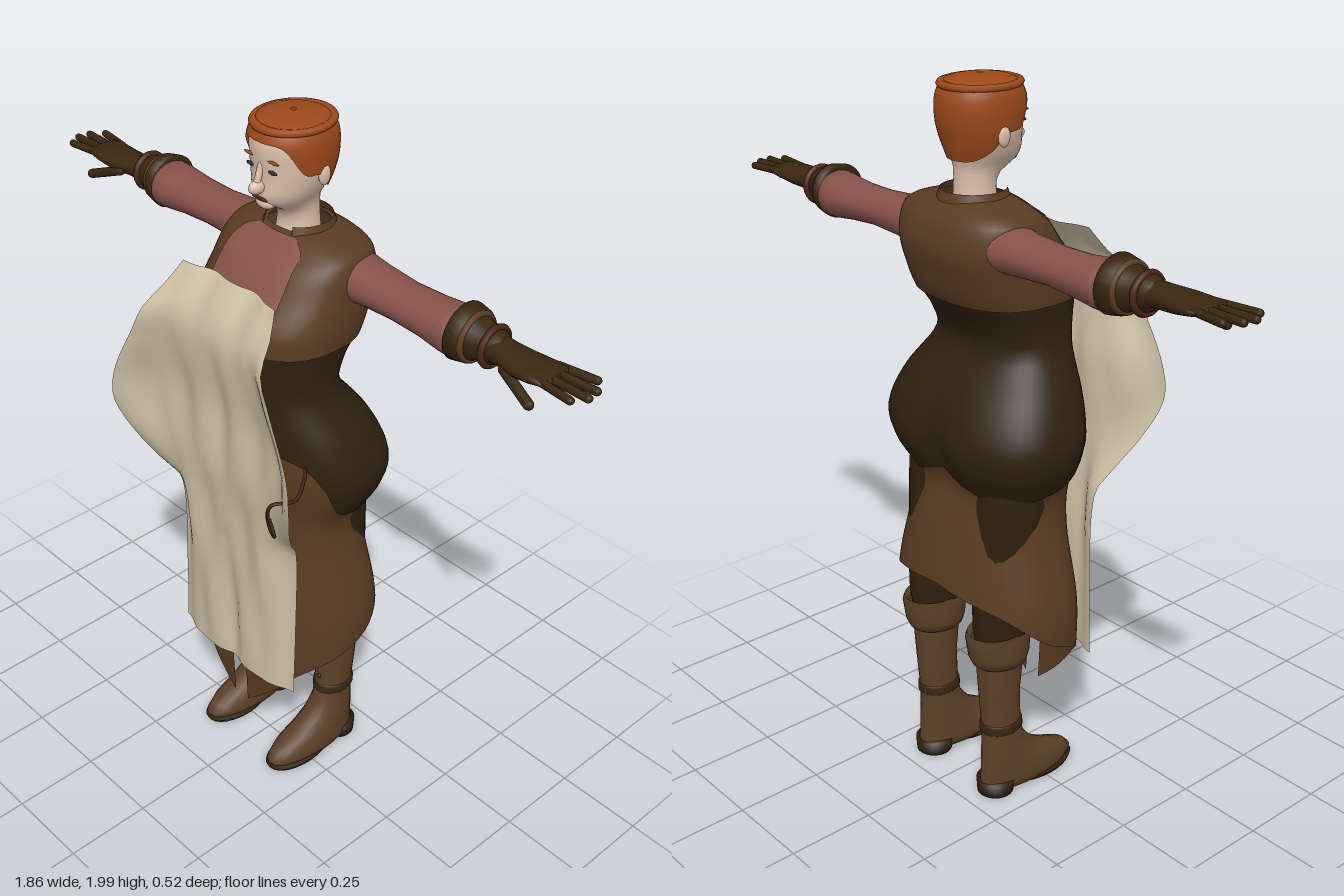
import * as THREE from 'three';
import { mergeVertices } from 'three/addons/utils/BufferGeometryUtils.js';

const mat = (name, color, open) => {
  const m = new THREE.MeshStandardMaterial({ color });
  m.name = name;
  if (open) m.side = THREE.DoubleSide;
  return m;
};

// Smooth surface from fn(u, v), u to the right and v upwards, both 0..1
function grid(nu, nv, fn) {
  const pos = [], idx = [];
  for (let j = 0; j <= nv; j++) for (let i = 0; i <= nu; i++) pos.push(...fn(i / nu, j / nv));
  for (let j = 0; j < nv; j++) for (let i = 0; i < nu; i++) {
    const a = j * (nu + 1) + i, b = a + nu + 1;
    idx.push(a, a + 1, b + 1, a, b + 1, b);
  }
  let g = new THREE.BufferGeometry();
  g.setAttribute('position', new THREE.Float32BufferAttribute(pos, 3));
  g.setIndex(idx);
  g = mergeVertices(g, 1e-5);
  g.computeVertexNormals();
  return g;
}

// Point on an oval section [y, half width, front z, back z, centre x]
function oval([y, rx, zf, zb, cx = 0], t, off = 0, n = 2) {
  const f = (k) => Math.sign(k) * Math.pow(Math.abs(k), 2 / n);
  return [cx + (rx + off) * f(Math.sin(t)), y, (zf + zb) / 2 + ((zf - zb) / 2 + off) * f(Math.cos(t))];
}

// Tube through oval sections, listed upwards
const loft = (rows, n = 2) => grid(24, rows.length - 1,
  (u, v) => oval(rows[Math.round(v * (rows.length - 1))], u * Math.PI * 2, 0, n));

// Cubic interpolation of a table keyed by its first column
function sample(tab, y) {
  let i = 0;
  while (i < tab.length - 2 && y > tab[i + 1][0]) i++;
  const a = tab[i], b = tab[i + 1], h = b[0] - a[0];
  const t = THREE.MathUtils.clamp((y - a[0]) / h, 0, 1);
  const slope = (j, k) => {
    const p = tab[Math.max(j - 1, 0)], q = tab[Math.min(j + 1, tab.length - 1)];
    return (q[k] - p[k]) / (q[0] - p[0]);
  };
  return a.map((_, k) => k === 0 ? y :
    a[k] * (1 + 2 * t) * (1 - t) ** 2 + b[k] * t * t * (3 - 2 * t) +
    h * (slope(i, k) * t * (1 - t) ** 2 + slope(i + 1, k) * t * t * (t - 1)));
}

// Part of a profile's surface between two heights that may vary with the angle
function panel(tab, bottom, top, { from = 0, to = Math.PI * 2, off = 0, n = 2, shape } = {}) {
  const at = (f, t) => typeof f === 'function' ? f(Math.min(t, Math.PI * 2 - t)) : f;
  return grid(56, 24, (u, v) => {
    const t = from + (to - from) * u;
    const y = THREE.MathUtils.lerp(at(bottom, t), at(top, t), v);
    const p = oval(sample(tab, y), t, off, n);
    return shape ? shape(p) : p;
  });
}

export function createModel() {
  const model = new THREE.Group();
  model.name = 'apronedWorker';
  const leather = mat('coat brown', 0x5a3c22, true), dark = mat('dark brown', 0x2e200e, true);
  const cloth = mat('apron cream', 0xcdc0a4, true), red = mat('shirt red', 0x87524a, true);
  const skin = mat('skin', 0xdcbfaa), hair = mat('hair ginger', 0x9c491b, true);
  const boot = mat('boot brown', 0x5c4127, true), glove = mat('glove brown', 0x38260f, true);
  const cordMat = mat('cord red brown', 0x4a2415), ink = mat('eye brown', 0x3a2a22);

  const add = (name, geo, m) => {
    const mesh = new THREE.Mesh(geo, m);
    mesh.name = name;
    model.add(mesh);
    return mesh;
  };
  // Left part plus its mirror image
  const pair = (name, geo, m) => {
    add(name + 'Left', geo, m);
    const g = geo.clone().scale(-1, 1, 1), ix = g.index.array;
    for (let i = 0; i < ix.length; i += 3) [ix[i], ix[i + 1]] = [ix[i + 1], ix[i]];
    add(name + 'Right', g, m);
  };
  const ball = (x, y, z, rx, ry, rz) => new THREE.SphereGeometry(1, 16, 12).scale(rx, ry, rz).translate(x, y, z);
  const limb = (a, b, r) => {
    const A = new THREE.Vector3(...a), B = new THREE.Vector3(...b), d = B.clone().sub(A);
    const q = new THREE.Quaternion().setFromUnitVectors(new THREE.Vector3(0, 1, 0), d.clone().normalize());
    return new THREE.CapsuleGeometry(r, d.length(), 4, 10).applyQuaternion(q).translate(...A.add(B).multiplyScalar(0.5).toArray());
  };

  // Coat: skirt, dark bodice over the hips, vest and shirt front
  const body = [
    [0.2, 0.28, 0.12, -0.25], [0.45, 0.295, 0.13, -0.25], [0.6, 0.298, 0.125, -0.253], [0.8, 0.255, 0.11, -0.225],
    [0.92, 0.252, 0.11, -0.205], [1.0, 0.29, 0.12, -0.245], [1.08, 0.308, 0.13, -0.26], [1.18, 0.275, 0.135, -0.22],
    [1.3, 0.205, 0.135, -0.135], [1.38, 0.2, 0.145, -0.16], [1.44, 0.21, 0.15, -0.2], [1.5, 0.215, 0.143, -0.225],
    [1.58, 0.212, 0.085, -0.245], [1.64, 0.203, 0.04, -0.235], [1.67, 0.185, 0.0, -0.215], [1.69, 0.13, -0.02, -0.19],
    [1.7, 0.07, -0.035, -0.165]];
  const cleft = ([x, y, z]) => [x, y, z < -0.1 ? z + 0.035 * Math.exp(-((x / 0.05) ** 2) - ((y - 1.04) / 0.1) ** 2) : z];
  const hem = [[0, 0.19], [0.35, 0.29], [0.8, 0.41], [1.57, 0.5], [2.3, 0.6], [Math.PI, 0.64]];
  const waist = [[0, 1.15], [0.8, 1.13], [1.25, 0.98], [2, 0.93], [2.7, 0.93], [Math.PI, 0.98]];
  add('coatSkirt', panel(body, (t) => sample(hem, t)[1], 1.18,
    { from: 0.06, to: Math.PI * 2 - 0.06, off: -0.008, n: 2.4, shape: cleft }), leather);
  add('bodice', panel(body, (t) => sample(waist, t)[1], 1.46, { n: 2.4, shape: cleft }), dark);
  add('vest', panel(body, 1.44, 1.7, { off: 0.006, n: 2.5 }), leather);
  add('shirtFront', panel(body, 1.55, 1.695, { from: -0.5, to: 0.5, off: 0.011, n: 2.5 }), red);
  const collar = new THREE.CylinderGeometry(0.085, 0.1, 0.04, 32, 1, true, 0.6, Math.PI * 2 - 1.2);
  add('collar', collar.translate(0, 1.695, -0.1), leather);

  // Apron: narrow bib, sides kicking forward at the hips, straight skirt
  const apron = [ // y, half width, middle z, edge z
    [0.38, 0.23, 0.15, 0.12], [0.6, 0.23, 0.155, 0.115], [0.88, 0.235, 0.165, 0.12], [0.95, 0.262, 0.17, 0.165],
    [1.05, 0.312, 0.18, 0.22], [1.15, 0.347, 0.18, 0.255], [1.25, 0.335, 0.18, 0.255], [1.4, 0.262, 0.2, 0.245],
    [1.48, 0.224, 0.2, 0.235], [1.54, 0.197, 0.17, 0.18], [1.6, 0.17, 0.125, 0.14]];
  add('apron', grid(40, 40, (u, v) => {
    const [y, w, zm, ze] = sample(apron, 0.38 + 1.22 * v), s = u * 2 - 1, x = s * w;
    const k = THREE.MathUtils.smoothstep(Math.abs(s), 0.6, 1);
    const fold = 0.008 * Math.cos(x * 45) * Math.sin(y * 9) - 0.012 * Math.exp(-((x / 0.03) ** 2)) * (y < 0.85 ? 1 : 0.5);
    return [x, y, zm + (ze - zm) * k + fold * (1 - k)];
  }), cloth);
  const cordPath = [[0.2, 1.12, 0.06], [0.27, 1.15, 0.13], [0.31, 1.14, 0.2], [0.285, 1.14, 0.255], [0.245, 1.03, 0.225],
    [0.28, 1.03, 0.24], [0.27, 1.09, 0.25]].map((p) => new THREE.Vector3(...p));
  add('apronCord', new THREE.TubeGeometry(new THREE.CatmullRomCurve3(cordPath), 40, 0.005, 6), cordMat);

  // Head, neck and face
  const head = [
    [1.66, 0.055, -0.03, -0.155], [1.72, 0.05, -0.04, -0.15], [1.755, 0.052, -0.02, -0.15], [1.775, 0.06, 0.02, -0.152],
    [1.8, 0.075, 0.035, -0.16], [1.84, 0.09, 0.033, -0.172], [1.88, 0.097, 0.034, -0.182], [1.93, 0.098, 0.036, -0.184],
    [1.965, 0.09, 0.022, -0.172], [1.985, 0.068, -0.005, -0.145], [1.994, 0.0, -0.075, -0.075]];
  add('headAndNeck', panel(head, 1.66, 1.98, { n: 2.1 }), skin);
  const hairline = [[0, 1.945], [0.7, 1.935], [1.15, 1.87], [1.6, 1.86], [1.95, 1.82], [2.4, 1.795], [Math.PI, 1.79]];
  add('hair', panel(head, (t) => sample(hairline, t)[1], 1.994, { off: 0.008, n: 2.1 }), hair);
  const braid = new THREE.TorusGeometry(0.09, 0.012, 8, 40).rotateX(Math.PI / 2).scale(1, 0.8, 1.12);
  add('hairBraid', braid.translate(0, 1.972, -0.075), hair);
  add('nose', ball(0, 1.828, 0.042, 0.016, 0.018, 0.026), skin);
  add('noseBridge', limb([0, 1.835, 0.045], [0, 1.885, 0.028], 0.009), skin);
  add('chin', ball(0, 1.782, 0.015, 0.03, 0.018, 0.02), skin);
  add('mouth', ball(0, 1.797, 0.035, 0.028, 0.005, 0.0045), cordMat);
  pair('ear', ball(0.1, 1.855, -0.085, 0.01, 0.027, 0.018), skin);
  pair('eye', ball(0.038, 1.873, 0.028, 0.016, 0.005, 0.0045), ink);
  pair('brow', ball(0.04, 1.9, 0.029, 0.022, 0.004, 0.0045), hair);

  // Sleeves, gauntlets and gloves, lofted upright and laid along x
  const arm = (rows) => loft(rows.map(([x, y, r, zf, zb]) => [x, r, zf, zb, -y])).rotateZ(-Math.PI / 2);
  pair('sleeve', arm([[0.17, 1.6, 0.062, -0.05, -0.205], [0.24, 1.597, 0.054, -0.06, -0.198], [0.34, 1.595, 0.048, -0.063, -0.192],
    [0.43, 1.593, 0.052, -0.062, -0.195], [0.5, 1.592, 0.06, -0.055, -0.2], [0.54, 1.593, 0.063, -0.052, -0.2],
    [0.56, 1.595, 0.04, -0.08, -0.17]]), red);
  pair('gauntlet', arm([[0.545, 1.6, 0.05, -0.07, -0.175], [0.535, 1.6, 0.075, -0.048, -0.202], [0.57, 1.6, 0.068, -0.055, -0.195],
    [0.59, 1.6, 0.05, -0.072, -0.175], [0.64, 1.602, 0.044, -0.078, -0.165], [0.66, 1.603, 0.034, -0.085, -0.155]]), glove);
  [0.575, 0.63].forEach((x, i) => pair('gauntletStrap', new THREE.TorusGeometry(0.058 - i * 0.01, 0.009, 8, 24)
    .rotateY(Math.PI / 2).translate(x, 1.6, -0.123), i ? cordMat : leather));
  pair('palm', arm([[0.62, 1.603, 0.034, -0.08, -0.16], [0.68, 1.603, 0.03, -0.072, -0.158], [0.73, 1.603, 0.027, -0.058, -0.163],
    [0.78, 1.606, 0.02, -0.055, -0.168], [0.82, 1.61, 0.014, -0.058, -0.168], [0.83, 1.61, 0, -0.11, -0.11]]), glove);
  [0.9, 0.922, 0.917, 0.89].forEach((x, i) =>
    pair('finger' + (i + 1), limb([0.79, 1.61, -0.073 - i * 0.027], [x, 1.61, -0.06 - i * 0.036], 0.0105), glove));
  pair('thumb', limb([0.7, 1.59, -0.075], [0.8, 1.555, -0.048], 0.013), glove);

  // Breeches and boots
  const leg = (rows) => loft(rows.map((r) => [...r, 0.137]));
  pair('breeches', leg([[0.45, 0.058, -0.06, -0.2], [0.53, 0.075, -0.045, -0.21], [0.6, 0.078, -0.045, -0.21],
    [0.75, 0.09, -0.03, -0.2], [0.95, 0.11, 0.04, -0.19]]), dark);
  pair('boot', leg([[0.015, 0, -0.03, -0.03], [0.015, 0.056, 0.115, -0.198], [0.035, 0.06, 0.128, -0.2], [0.06, 0.058, 0.105, -0.198],
    [0.085, 0.055, 0.04, -0.196], [0.12, 0.052, -0.02, -0.194], [0.17, 0.048, -0.06, -0.19], [0.22, 0.048, -0.07, -0.19],
    [0.32, 0.052, -0.075, -0.198], [0.4, 0.058, -0.068, -0.203], [0.47, 0.062, -0.06, -0.205]]), boot);
  pair('bootCuff', leg([[0.44, 0.062, -0.06, -0.21], [0.425, 0.068, -0.055, -0.215], [0.45, 0.074, -0.046, -0.228],
    [0.51, 0.078, -0.04, -0.238], [0.525, 0.073, -0.045, -0.232], [0.5, 0.066, -0.055, -0.22]]), boot);
  pair('bootSole', leg([[0.004, 0, 0, 0], [0.004, 0.056, 0.12, -0.1], [0.02, 0.061, 0.13, -0.12], [0.025, 0, 0, 0]]), dark);
  pair('bootHeel', leg([[0, 0, -0.15, -0.15], [0, 0.052, -0.1, -0.203], [0.04, 0.055, -0.09, -0.206], [0.04, 0, -0.15, -0.15]]), dark);
  pair('ankleStrap', leg([[0.2, 0.049, -0.066, -0.191], [0.205, 0.053, -0.064, -0.195], [0.225, 0.053, -0.066, -0.195],
    [0.23, 0.048, -0.07, -0.191]]), glove);
  for (let i = 0; i < 4; i++) pair('bootButton' + (i + 1), ball(0.137, 0.26 + i * 0.045, -0.072, 0.007, 0.007, 0.007), glove);

  return model;
}
